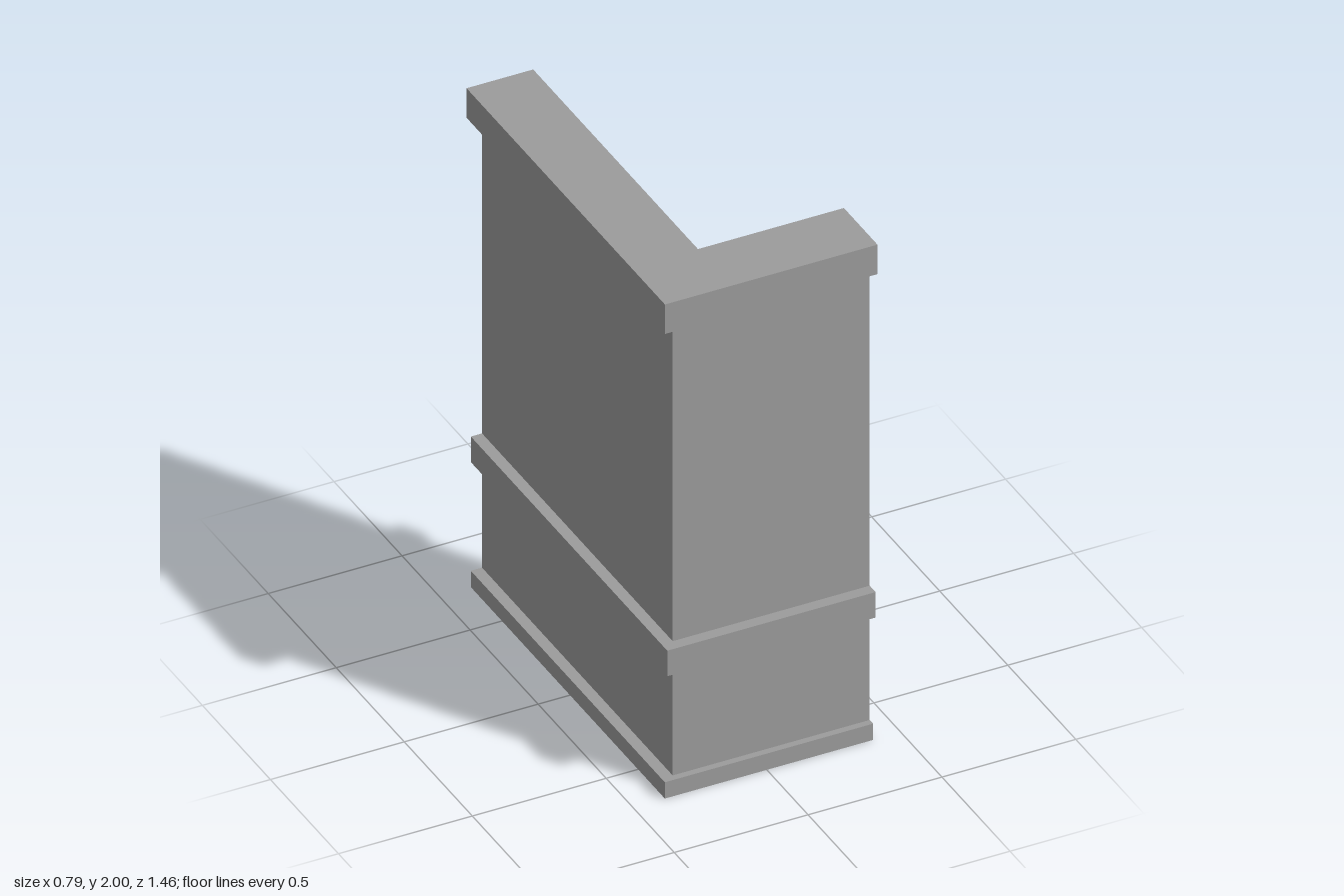
import * as THREE from 'three';

const END_X = 0.397, END_Z = -0.729;

// Wall sections: outer x, inner x, inner z, outer z of an L-shaped plan
const FOOT = [-0.381, -0.204, 0.537, 0.697];
const BASE = [-0.381, -0.178, 0.5, 0.697];
const WALL = [-0.339, -0.204, 0.537, 0.672];
const RAIL = [-0.381, -0.162, 0.495, 0.715];
const CAP = [-0.397, -0.148, 0.482, 0.729];

// Corners of the L, counter-clockwise from above
function outline([xo, xi, zi, zo], y) {
  return [
    [xo, y, END_Z], [xo, y, zo], [END_X, y, zo],
    [END_X, y, zi], [xi, y, zi], [xi, y, END_Z],
  ].map((p) => new THREE.Vector3(...p));
}

// Skins a stack of [section, height] levels; equal heights make a ledge
function loft(name, levels, closedTop = false) {
  const points = [];
  const quad = (a, b, c, d) => {
    // ledges have no area where the sections are flush
    const area = c.clone().sub(a).cross(d.clone().sub(b)).length();
    if (area > 1e-8) points.push(a, b, c, a, c, d);
  };
  const rings = levels.map(([section, y]) => outline(section, y));
  for (let k = 0; k + 1 < rings.length; k++) {
    const lo = rings[k], hi = rings[k + 1];
    for (let i = 0; i < 6; i++) {
      const j = (i + 1) % 6;
      quad(lo[i], lo[j], hi[j], hi[i]);
    }
  }
  if (closedTop) {
    const [a, b, c, d, e, f] = rings[rings.length - 1];
    quad(a, b, e, f);
    quad(b, c, d, e);
  }
  const geo = new THREE.BufferGeometry().setFromPoints(points);
  geo.computeVertexNormals();
  const mesh = new THREE.Mesh(geo, new THREE.MeshStandardMaterial({
    color: 0x9c9c9c, flatShading: true, side: THREE.DoubleSide,
  }));
  mesh.name = name;
  return mesh;
}

export function createModel() {
  const group = new THREE.Group();
  group.name = 'cornerWall';
  group.add(
    // hollow shell, open underneath except for the inner skirting
    loft('baseboard', [[FOOT, 0], [BASE, 0], [BASE, 0.065], [WALL, 0.065]]),
    loft('lowerWall', [[WALL, 0.065], [WALL, 0.5]]),
    loft('chairRail', [[WALL, 0.5], [RAIL, 0.5], [RAIL, 0.602], [WALL, 0.602]]),
    loft('upperWall', [[WALL, 0.602], [WALL, 1.882]]),
    loft('cornice', [[WALL, 1.882], [CAP, 1.882], [CAP, 2]], true),
  );
  return group;
}
